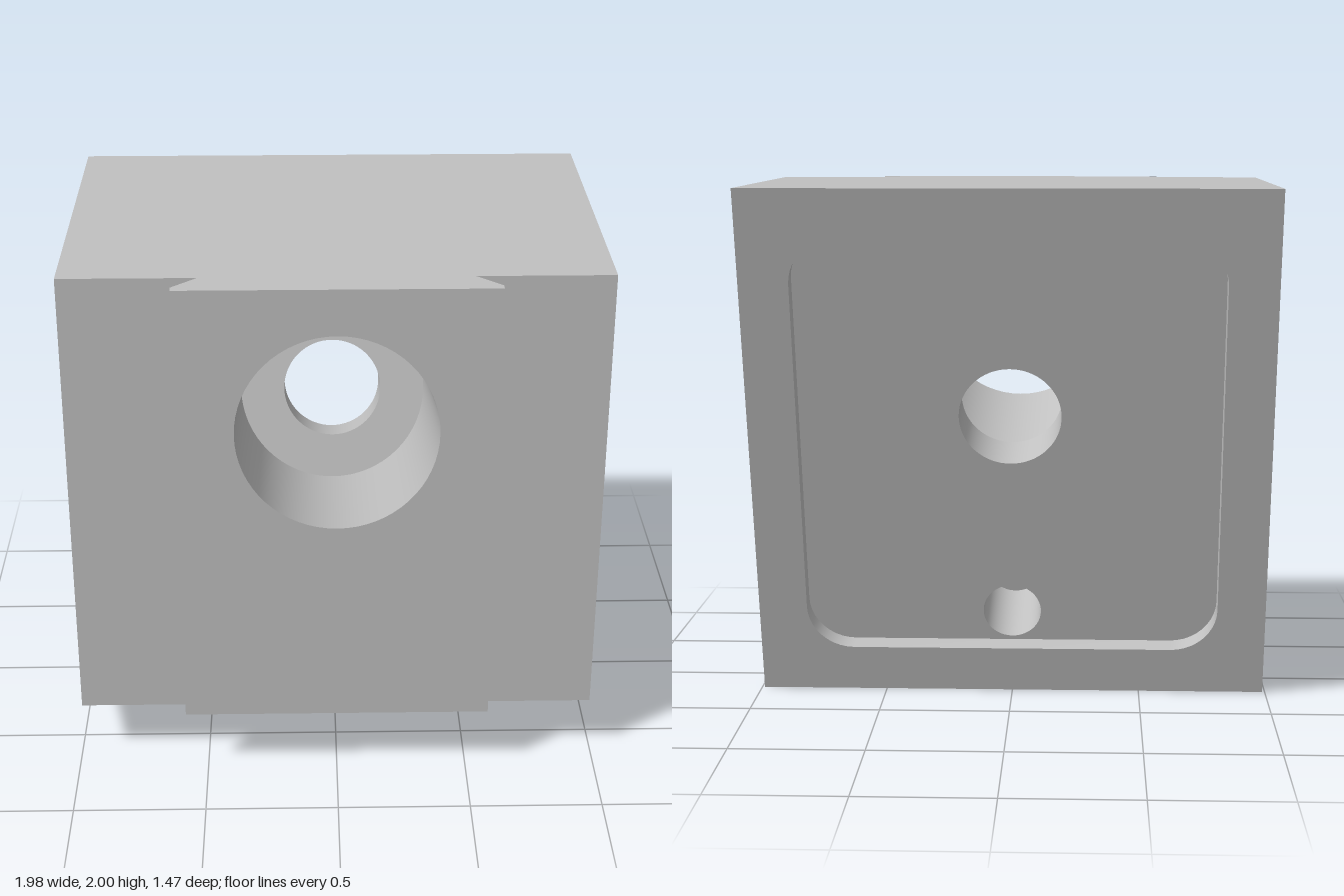
import * as THREE from 'three';
import { toCreasedNormals } from 'three/addons/utils/BufferGeometryUtils.js';

const TILT = THREE.MathUtils.degToRad(15);
const SIN = Math.sin(TILT), COS = Math.cos(TILT), TAN = Math.tan(TILT);
const HEIGHT = 2, HALF_W = 0.99, HEEL_Z = -0.2;
const BODY_Z = 0.62, RAIL_Z = 0.738;
const BACK_LEN = HEIGHT / COS;

const V2 = (x, y) => new THREE.Vector2(x, y);
const V3 = (x, y, z) => new THREE.Vector3(x, y, z);

// Wall between two matching closed rings; skip lists the edges left open.
function loft(a, b, skip = []) {
  const n = a.length, index = [];
  for (let i = 0; i < n; i++) {
    if (skip.includes(i)) continue;
    const j = (i + 1) % n;
    index.push(i, j, n + j, i, n + j, n + i);
  }
  const geo = new THREE.BufferGeometry().setFromPoints([...a, ...b]);
  geo.setIndex(index);
  return toCreasedNormals(geo, 0.5);
}

// Flat outline with holes, placed in space by a rule.
function surface(outline, holes, place, flip = false) {
  const shape = new THREE.Shape(outline);
  shape.holes = holes.map((h) => new THREE.Path(h));
  const geo = new THREE.ShapeGeometry(shape);
  const pos = geo.attributes.position;
  for (let i = 0; i < pos.count; i++) {
    const p = place(pos.getX(i), pos.getY(i));
    pos.setXYZ(i, p.x, p.y, p.z);
  }
  if (flip) geo.setIndex(Array.from(geo.index.array).reverse());
  geo.computeVertexNormals();
  return geo;
}

function circle(r, cy, n = 64) {
  return Array.from({ length: n }, (_, i) => {
    const t = (i / n) * Math.PI * 2;
    return V2(r * Math.cos(t), cy + r * Math.sin(t));
  });
}

function roundedRect(x0, y0, x1, y1, r, n = 10) {
  const centres = [[x1 - r, y1 - r], [x0 + r, y1 - r], [x0 + r, y0 + r], [x1 - r, y0 + r]];
  return centres.flatMap(([cx, cy], k) => Array.from({ length: n + 1 }, (_, i) => {
    const t = (k + i / n) * Math.PI / 2;
    return V2(cx + r * Math.cos(t), cy + r * Math.sin(t));
  }));
}

// Plan outline (x, -z) with the dovetail rail at the front.
function plan(backZ) {
  return [
    [-HALF_W, BODY_Z], [-0.49, BODY_Z], [-0.58, 0.708], [-0.58, RAIL_Z],
    [0.58, RAIL_Z], [0.58, 0.708], [0.49, BODY_Z], [HALF_W, BODY_Z],
    [HALF_W, backZ], [-HALF_W, backZ],
  ].map(([x, z]) => V2(x, -z));
}

export function createModel() {
  const model = new THREE.Group();
  model.name = 'dovetailBlock';
  const grey = new THREE.MeshStandardMaterial({ color: 0xc0c0c0 });
  grey.name = 'plain grey';
  const add = (parent, name, geo) => {
    const mesh = new THREE.Mesh(geo, grey);
    mesh.name = name;
    parent.add(mesh);
  };

  // Tilted frame: its xy plane is the sloping back, its +z points out of the back.
  const back = new THREE.Group();
  back.name = 'slopingBack';
  const frame = new THREE.Matrix4()
    .makeBasis(V3(-1, 0, 0), V3(0, COS, -SIN), V3(0, -SIN, -COS))
    .setPosition(0, 0, HEEL_Z);
  frame.decompose(back.position, back.quaternion, back.scale);
  model.add(back);

  // Outer block: top, sloping underside and side walls
  const low = plan(HEEL_Z), high = plan(HEEL_Z - HEIGHT * TAN);
  const atTop = (x, v) => V3(x, HEIGHT, -v);
  const atBottom = (x, v) => V3(x, (-v - HEEL_Z) * TAN, -v);
  add(model, 'top', surface(high, [], atTop));
  add(model, 'underside', surface(low, [], atBottom, true));
  add(model, 'sideWalls', loft(
    low.map((p) => atBottom(p.x, p.y)), high.map((p) => atTop(p.x, p.y)), [3, 8]));

  // Back face with a rounded shallow recess
  const recessDepth = 0.075, stepDepth = 0.277, blindDepth = 0.45;
  const at = (z) => (x, y) => V3(x, y, -z);
  const ring = (pts, z) => pts.map((p) => V3(p.x, p.y, -z));
  const recess = roundedRect(-HALF_W + 0.187, 0.187, HALF_W - 0.187, BACK_LEN - 0.187, 0.18);
  const face = [V2(-HALF_W, 0), V2(HALF_W, 0), V2(HALF_W, BACK_LEN), V2(-HALF_W, BACK_LEN)];
  const boltHole = circle(0.195, 1.15), counterbore = circle(0.37, 1.15);
  const pinHole = circle(0.113, 0.316);
  add(back, 'backFace', surface(face, [recess], at(0)));
  add(back, 'recessWall', loft(ring(recess, 0), ring(recess, recessDepth)));
  add(back, 'recessFloor', surface(recess, [boltHole, pinHole], at(recessDepth)));

  // Blind pin hole
  add(back, 'pinHoleWall', loft(ring(pinHole, recessDepth), ring(pinHole, blindDepth)));
  add(back, 'pinHoleEnd', surface(pinHole, [], at(blindDepth)));

  // Stepped bolt hole running square to the back and out through the rail
  const mouth = counterbore.map((p) => V3(p.x, p.y, -(RAIL_Z - HEEL_Z + p.y * SIN) / COS));
  add(back, 'boltHoleWall', loft(ring(boltHole, recessDepth), ring(boltHole, stepDepth)));
  add(back, 'counterboreStep', surface(counterbore, [boltHole], at(stepDepth), true));
  add(back, 'counterboreWall', loft(ring(counterbore, stepDepth), mouth));

  // Rail front, cut by the slanted bore
  const cut = mouth.map((p) => p.clone().applyMatrix4(frame)).map((p) => V2(p.x, p.y));
  const railLow = (RAIL_Z - HEEL_Z) * TAN;
  add(model, 'railFront', surface(
    [V2(-0.58, railLow), V2(0.58, railLow), V2(0.58, HEIGHT), V2(-0.58, HEIGHT)],
    [cut], (x, y) => V3(x, y, RAIL_Z)));

  return model;
}
